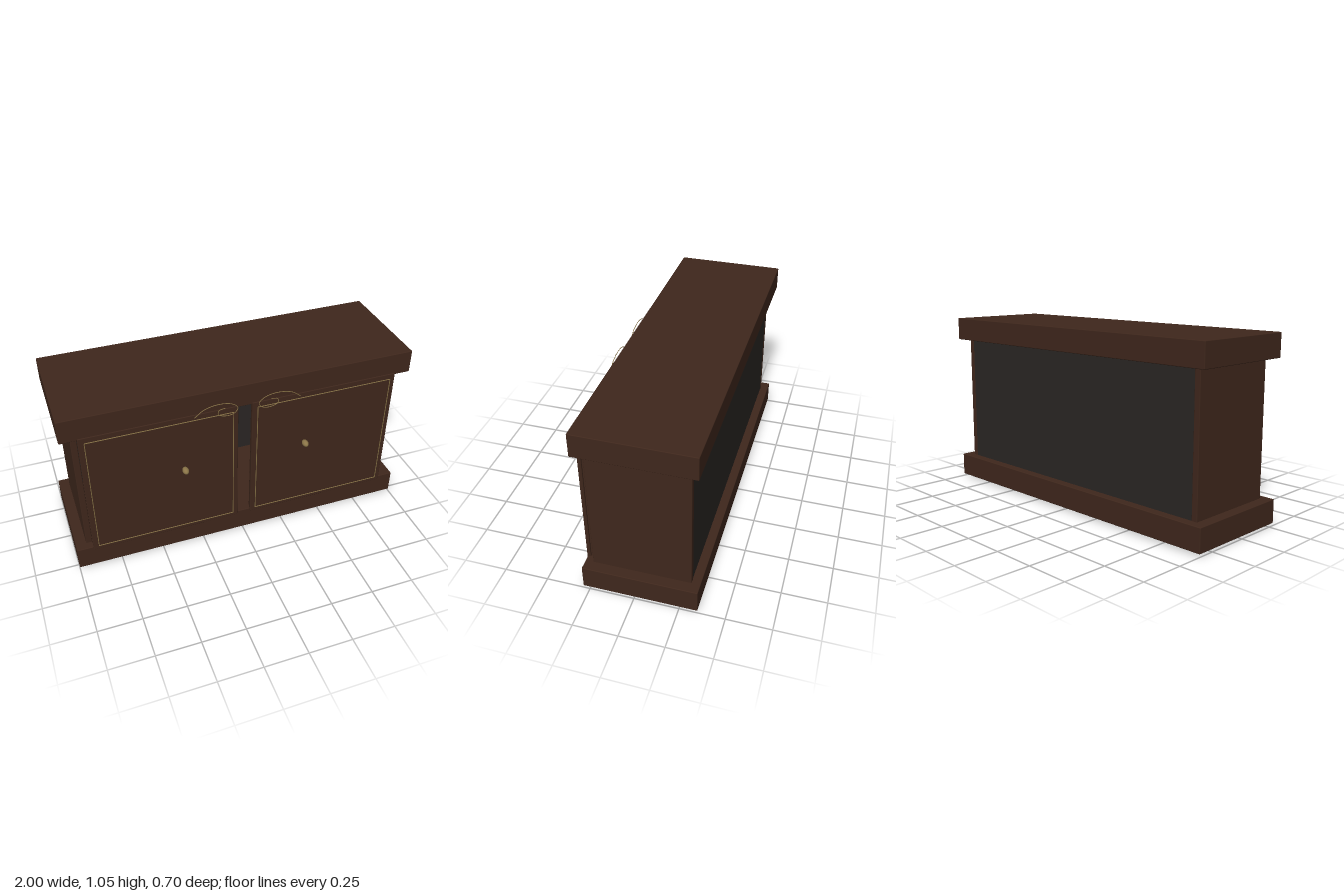
import * as THREE from 'three';
import { RoundedBoxGeometry } from 'three/addons/geometries/RoundedBoxGeometry.js';

const wood = new THREE.MeshStandardMaterial({ color: 0x3f271c });
const dark = new THREE.MeshStandardMaterial({ color: 0x2a2624 });
const brass = new THREE.MeshStandardMaterial({ color: 0x8b7548 });

export function createModel() {
  const model = new THREE.Group();
  model.name = 'cabinet';

  const add = (parent, name, geometry, material) => {
    const mesh = new THREE.Mesh(geometry, material);
    mesh.name = name;
    parent.add(mesh);
    return mesh;
  };
  // Softly rounded board given by its limits on each axis
  const board = (parent, name, [x0, x1], [y0, y1], [z0, z1], material = wood, r = 0.004) => {
    const geometry = new RoundedBoxGeometry(x1 - x0, y1 - y0, z1 - z0, 2, r);
    geometry.translate((x0 + x1) / 2, (y0 + y1) / 2, (z0 + z1) / 2);
    return add(parent, name, geometry, material);
  };
  const wire = (parent, name, curve, segments, radius, closed = false) =>
    add(parent, name, new THREE.TubeGeometry(curve, segments, radius, 6, closed), brass);

  // Carcass
  board(model, 'top', [-1, 1], [0.915, 1.05], [-0.35, 0.287]);
  board(model, 'plinth', [-1, 1], [0.014, 0.15], [-0.35, 0.287]);
  board(model, 'bottomPanel', [-0.94, 0.94], [0, 0.03], [-0.302, 0.243]);
  board(model, 'backPanel', [-0.912, 0.912], [0.14, 0.925], [-0.3, -0.28], dark, 0.002);

  for (const s of [-1, 1]) {
    const side = s < 0 ? 'right' : 'left';
    const span = (a, b) => (s > 0 ? [a, b] : [-b, -a]);
    board(model, side + 'SidePanel', span(0.905, 0.94), [0.005, 0.92], [-0.302, 0.243]);

    // Door: backing layer and front slab with a fine shadow line between
    const door = new THREE.Group();
    door.name = side + 'Door';
    model.add(door);
    board(door, 'doorBacking', span(0.045, 0.9), [0.135, 0.92], [0.253, 0.271]);
    board(door, 'doorFront', span(0.04, 0.907), [0.13, 0.925], [0.27, 0.291]);

    // Thin brass inlay following the door's edge
    const corners = [[0.07, 0.16], [0.875, 0.16], [0.875, 0.895], [0.07, 0.895]]
      .map(([x, y]) => new THREE.Vector3(s * x, y, 0.297));
    corners.forEach((p, i) =>
      wire(door, 'inlay', new THREE.LineCurve3(p, corners[(i + 1) % 4]), 1, 0.0025));

    // Egg-shaped knob
    const knob = add(door, 'knob', new THREE.SphereGeometry(1, 24, 16), brass);
    knob.scale.set(0.018, 0.018, 0.027);
    knob.position.set(s * 0.357, 0.59, 0.324);

    // Scroll ornament: one curve sweeping over and curling in
    const scroll = [[0.3, 0.94], [0.25, 0.977], [0.18, 0.994], [0.1, 0.984], [0.06, 0.95],
      [0.08, 0.919], [0.13, 0.912], [0.17, 0.93], [0.165, 0.955], [0.13, 0.963]]
      .map(([x, y]) => new THREE.Vector3(s * x, y, 0.335));
    wire(door, 'scroll', new THREE.CatmullRomCurve3(scroll), 48, 0.002);
  }
  return model;
}
